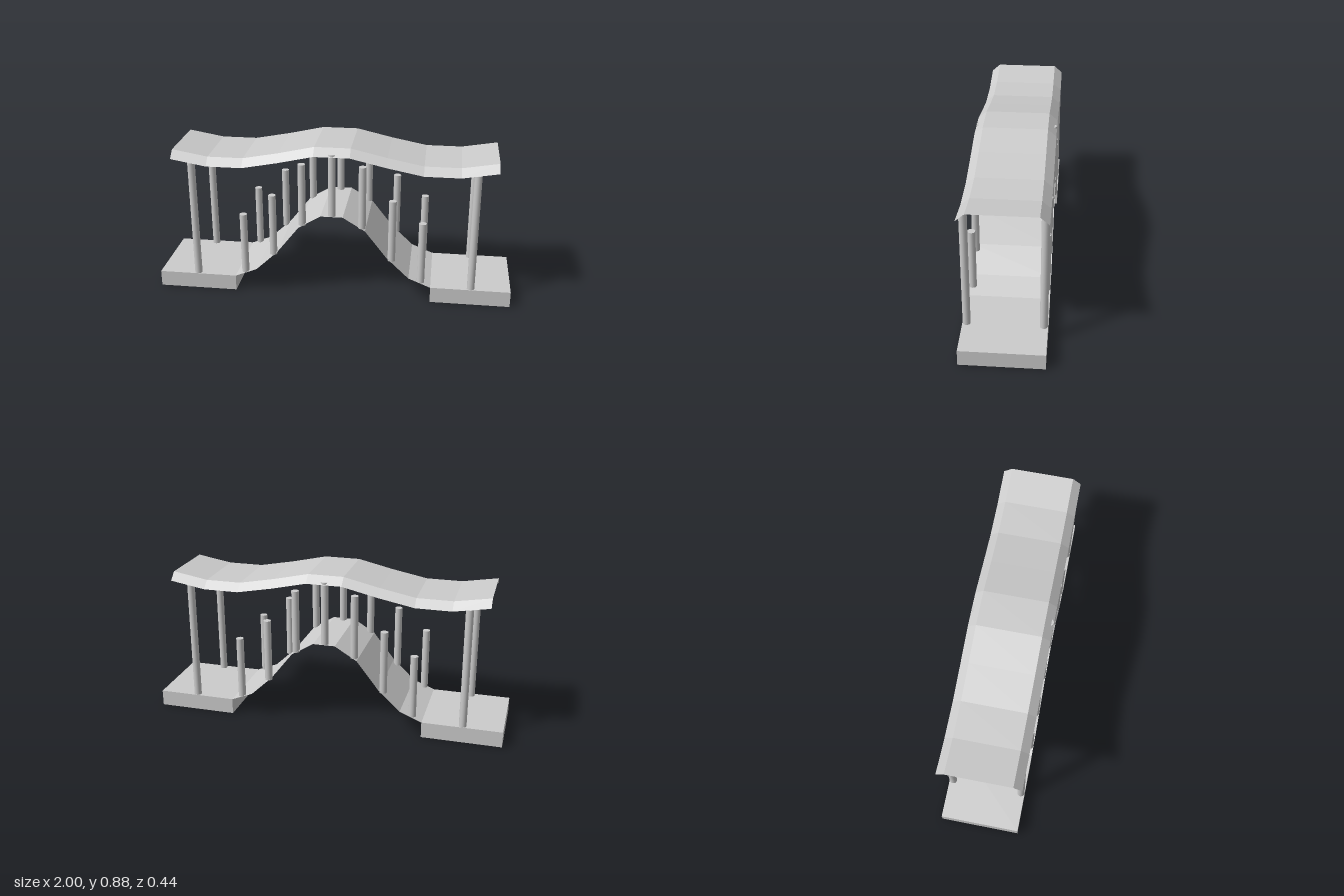
import * as THREE from 'three';

const solid = new THREE.MeshStandardMaterial({ color: 0xcccccc });
const thin = new THREE.MeshStandardMaterial({ color: 0xcccccc, flatShading: true, side: THREE.DoubleSide });

const HALF_DEPTH = 0.222; // half width of platforms, deck and roof
const POST_Z = 0.2;
const POST_R = 0.021;

// Half profiles of equally spaced heights, from the middle out to the end
const DECK = { halfLength: 0.556, heights: [0.49, 0.415, 0.257, 0.14, 0.09] };
const ROOF = { halfLength: 0.89, heights: [0.876, 0.831, 0.793, 0.793, 0.827] };

// Mirror a half profile into points running from -x to +x
function profilePoints({ halfLength, heights }) {
  const step = halfLength / (heights.length - 0.5);
  const right = heights.map((y, i) => [(i + 0.5) * step, y]);
  const left = right.map(([x, y]) => [-x, y]).reverse();
  return [...left, ...right];
}

// Sweep a cross-section of [z, yOffset] pairs along a profile as a thin sheet
function sheet(name, profile, section) {
  const points = profilePoints(profile);
  const positions = [];
  const index = [];
  const n = section.length;
  points.forEach(([x, y], i) => {
    section.forEach(([z, dy], j) => {
      positions.push(x, y + dy, z);
      if (i && j) {
        const d = i * n + j;
        const a = d - n - 1, b = d - n, c = d - 1;
        index.push(a, b, c, b, d, c);
      }
    });
  });
  const geometry = new THREE.BufferGeometry();
  geometry.setAttribute('position', new THREE.Float32BufferAttribute(positions, 3));
  geometry.setIndex(index);
  geometry.computeVertexNormals();
  const mesh = new THREE.Mesh(geometry, thin);
  mesh.name = name;
  return mesh;
}

// Upright round post standing on height y
function post(name, x, y, z, height) {
  const mesh = new THREE.Mesh(new THREE.CylinderGeometry(POST_R, POST_R, height, 16), solid);
  mesh.position.set(x, y + height / 2, z);
  mesh.name = name;
  return mesh;
}

export function createModel() {
  const model = new THREE.Group();
  model.name = 'coveredBridge';

  // End platforms
  for (const side of [-1, 1]) {
    const platform = new THREE.Mesh(new THREE.BoxGeometry(0.444, 0.09, HALF_DEPTH * 2), solid);
    platform.position.set(side * 0.778, 0.045, 0);
    platform.name = side > 0 ? 'leftPlatform' : 'rightPlatform';
    model.add(platform);
  }

  // Arched walkway and the canopy with sloping eaves
  model.add(sheet('deck', DECK, [[-HALF_DEPTH, 0], [HALF_DEPTH, 0]]));
  model.add(sheet('roof', ROOF, [[-HALF_DEPTH, -0.041], [-0.176, 0], [0.176, 0], [HALF_DEPTH, -0.041]]));

  // Tall roof posts and short railing posts that follow the deck
  const railFeet = [[0, 0.49], [1 / 6, 0.426], [1 / 3, 0.237], [0.5, 0.114]];
  for (const z of [-POST_Z, POST_Z]) {
    for (const side of [-1, 1]) {
      model.add(post('roofPost', side * 0.78, 0.09, z, 0.675));
      for (const [x, y] of railFeet) {
        if (x === 0 && side < 0) continue;
        model.add(post('railingPost', side * x, y, z, 0.357));
      }
    }
  }
  return model;
}
